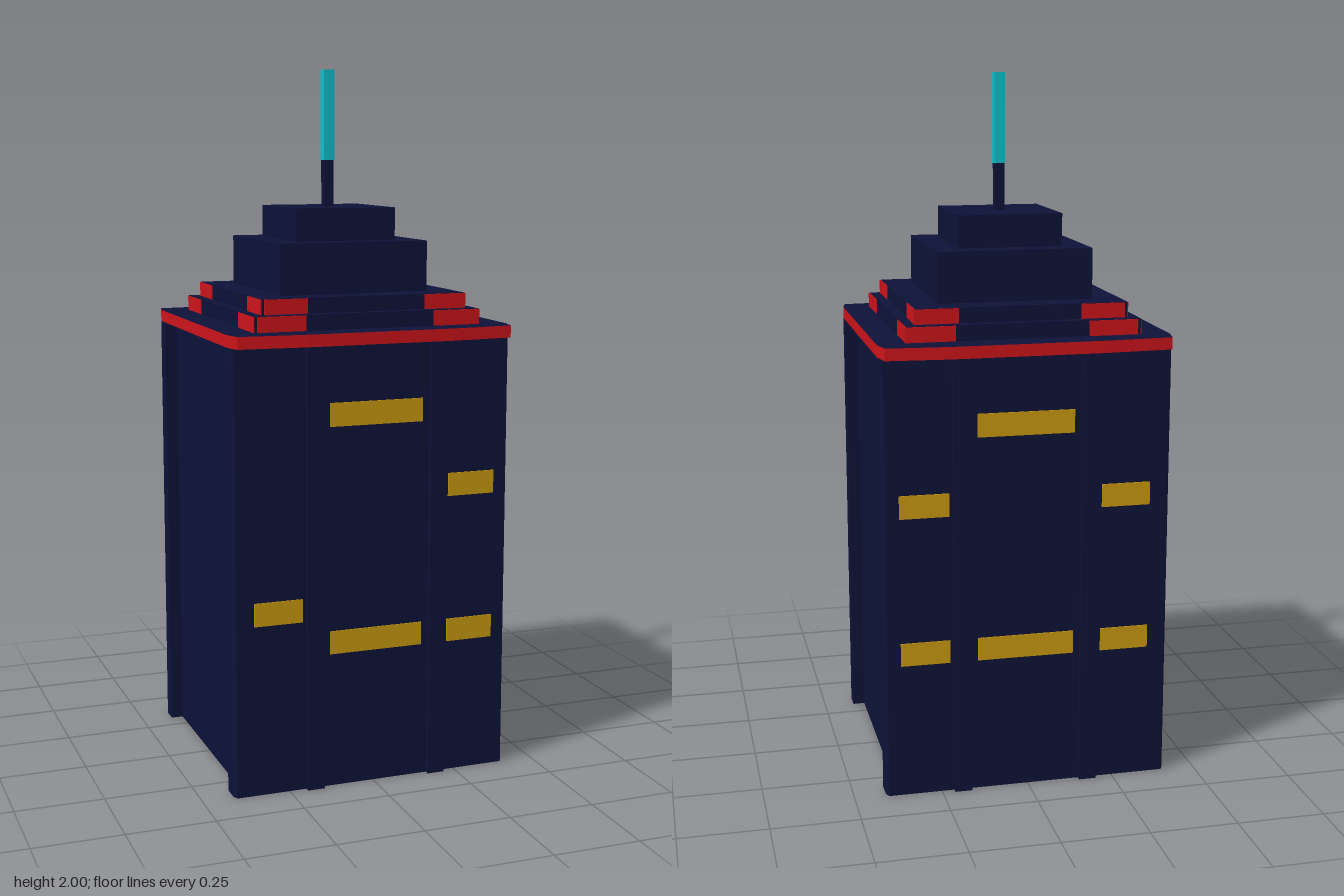
import * as THREE from 'three';

const mat = (color) => new THREE.MeshStandardMaterial({ color, flatShading: true });

export function createModel() {
  const navy = mat(0x0d1238), red = mat(0xcc141a), gold = mat(0xc99a10), cyan = mat(0x12c0cc);
  const root = new THREE.Group();

  const add = (name, geometry, material, parent = root) => {
    const mesh = new THREE.Mesh(geometry, material);
    mesh.name = name;
    parent.add(mesh);
    return mesh;
  };
  // box given by its centre in x and z and its bottom and top heights
  const block = (name, w, d, y0, y1, material, x = 0, z = 0, parent = root) =>
    add(name, new THREE.BoxGeometry(w, y1 - y0, d), material, parent).position.set(x, (y0 + y1) / 2, z);
  // plan outline: front half as [x, z], mirrored to the back, extruded upwards
  const plan = (half, y0, y1) => {
    const back = half.map(([x, z]) => [x, -z]).reverse();
    const shape = new THREE.Shape([...half, ...back].map(([x, z]) => new THREE.Vector2(x, z)));
    return new THREE.ExtrudeGeometry(shape, { depth: y1 - y0, bevelEnabled: false })
      .rotateX(-Math.PI / 2).translate(0, y0, 0);
  };

  // Tower: ribbed front and back, recessed flanks between corner posts
  add('tower', plan([
    [0.375, 0.31], [0.41, 0.31], [0.41, 0.36], [0.402, 0.375],
    [0.215, 0.375], [0.215, 0.39], [0.165, 0.39], [0.165, 0.375],
    [-0.15, 0.375], [-0.15, 0.39], [-0.2, 0.39], [-0.2, 0.375],
    [-0.402, 0.375], [-0.41, 0.36], [-0.41, 0.31], [-0.375, 0.31],
  ], 0, 1.256), navy);

  // Roof slab with a red rim
  add('roofSlab', plan([
    [0.412, 0.34], [0.4, 0.399], [0.22, 0.412], [-0.2, 0.412], [-0.4, 0.399], [-0.412, 0.34],
  ], 1.256, 1.29), [navy, red]);

  // Lit windows: [x, width, y]
  const windows = new THREE.Group();
  windows.name = 'windows';
  root.add(windows);
  const shared = [[0.007, 0.275, 1.063], [0.007, 0.275, 0.419], [0.294, 0.14, 0.844], [0.294, 0.14, 0.419]];
  const sides = [
    [1, [...shared, [-0.281, 0.14, 0.52]]],
    [-1, [...shared, [-0.281, 0.14, 0.844], [-0.281, 0.14, 0.419]]],
  ];
  for (const [s, list] of sides)
    for (const [x, w, y] of list)
      block('window', w, 0.006, y - 0.033, y + 0.033, gold, x, s * 0.375, windows);

  // Two low steps with red corner trim: [half size, inner end of trim, bottom, top]
  for (const [h, inner, y0, y1] of [[0.33, 0.19, 1.29, 1.334], [0.3, 0.175, 1.334, 1.377]]) {
    block('step', 2 * h, 2 * h, y0, y1, navy);
    const len = h - inner, mid = (h + inner) / 2;
    for (const sx of [-1, 1]) for (const sz of [-1, 1]) {
      const shift = 0.008;
      block('cornerTrim', len, 0.004, y0, y1 - 0.001, red, sx * mid + (sx > 0 ? shift / 2 : shift), sz * h);
      block('cornerTrim', 0.004, len, y0, y1 - 0.001, red, sx * h, sz * mid);
    }
  }

  // Upper tiers and mast
  block('lowerTier', 0.44, 0.44, 1.377, 1.52, navy);
  block('upperTier', 0.3, 0.3, 1.52, 1.612, navy);
  block('mast', 0.028, 0.028, 1.612, 1.745, navy);
  block('mastLight', 0.031, 0.031, 1.745, 2, cyan);

  return root;
}
